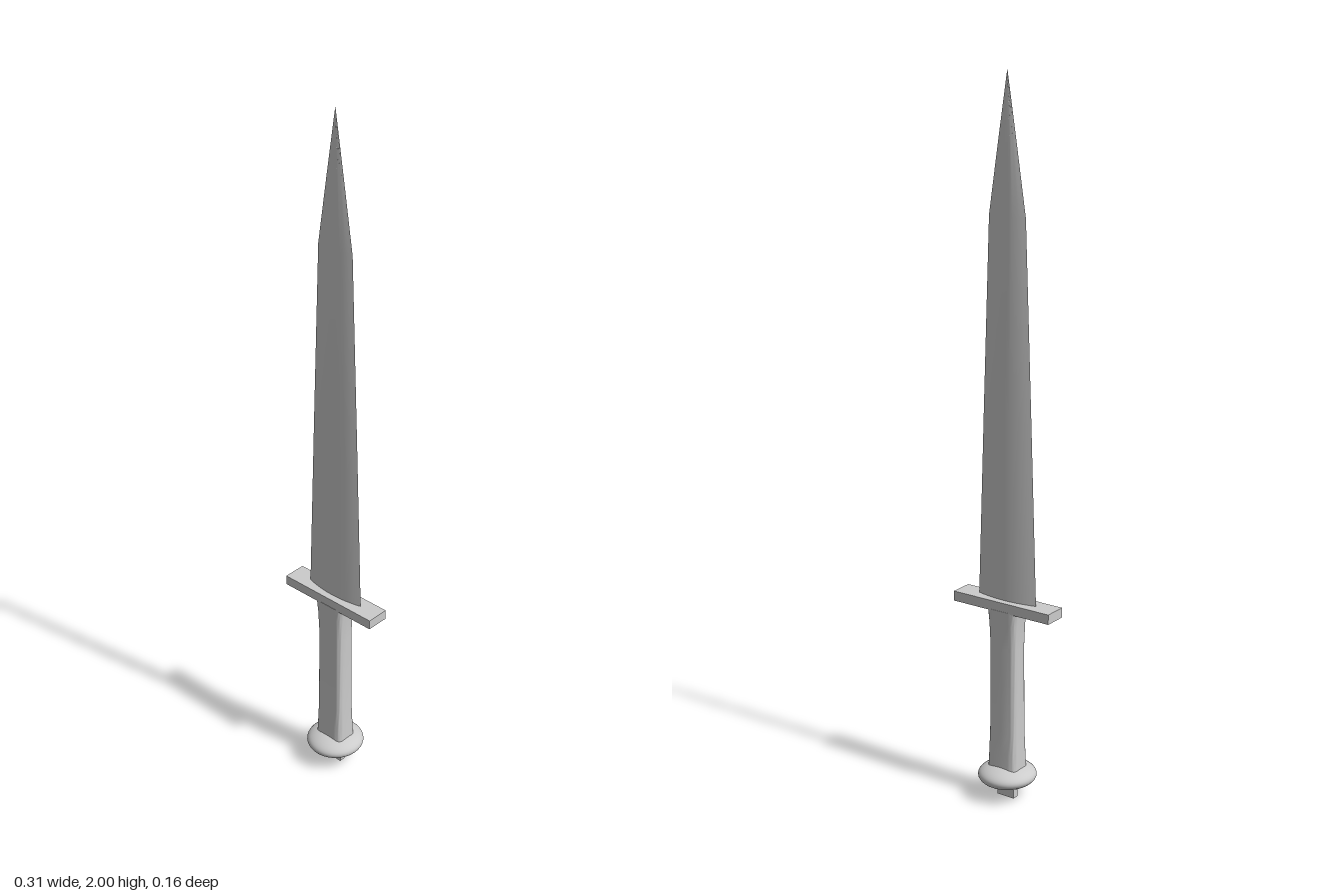
import * as THREE from 'three';
import { toCreasedNormals } from 'three/addons/utils/BufferGeometryUtils.js';

// Stacks scaled copies of a closed outline; each section is [y, half width x, half depth z].
function loft(outline, sections, crease) {
  const n = outline.length, pos = [], idx = [];
  for (const [y, rx, rz] of sections)
    for (const [x, z] of outline) pos.push(x * rx, y, z * rz);
  for (let s = 0; s < sections.length - 1; s++)
    for (let i = 0; i < n; i++) {
      const a = s * n + i, b = s * n + (i + 1) % n;
      idx.push(a, a + n, b, b, a + n, b + n);
    }
  // end caps
  const top = (sections.length - 1) * n;
  for (let i = 1; i < n - 1; i++) {
    idx.push(0, i, i + 1);
    idx.push(top, top + i + 1, top + i);
  }
  const geo = new THREE.BufferGeometry();
  geo.setAttribute('position', new THREE.Float32BufferAttribute(pos, 3));
  geo.setIndex(idx);
  return toCreasedNormals(geo, crease);
}

// Lens-shaped outline with two sharp edges at x = ±1
function lensOutline(steps) {
  const pts = [];
  for (const side of [1, -1])
    for (let i = 0; i < steps; i++) {
      const x = side * (1 - 2 * i / steps);
      pts.push([x, side * (1 - x * x)]);
    }
  return pts;
}

// Rounded-rectangle outline
function roundedOutline(steps, power) {
  const pts = [];
  for (let i = 0; i < steps; i++) {
    const t = i / steps * Math.PI * 2, c = Math.cos(t), s = Math.sin(t);
    pts.push([Math.sign(c) * Math.abs(c) ** power, Math.sign(s) * Math.abs(s) ** power]);
  }
  return pts;
}

export function createModel() {
  const model = new THREE.Group();
  const material = new THREE.MeshStandardMaterial({ color: 0xcccccc });
  const add = (name, geometry, y = 0) => {
    const mesh = new THREE.Mesh(geometry, material);
    mesh.name = name;
    mesh.position.y = y;
    model.add(mesh);
    return mesh;
  };

  // Long tapering blade with a pointed tip
  add('blade', loft(lensOutline(12), [
    [0.57, 0.095, 0.013], [1.1, 0.077, 0.011], [1.63, 0.058, 0.008],
    [1.82, 0.029, 0.005], [2, 0.0005, 0.0005],
  ], 0.5));

  // Flat crossguard
  add('guard', new THREE.BoxGeometry(0.314, 0.028, 0.066), 0.571);

  // Grip, slightly flared at both ends
  add('grip', loft(roundedOutline(32, 0.4), [
    [0.08, 0.048, 0.036], [0.14, 0.046, 0.033], [0.2, 0.044, 0.031],
    [0.45, 0.043, 0.029], [0.52, 0.045, 0.032], [0.56, 0.049, 0.034],
  ], 0.7));

  // Flattened round pommel
  const pommel = add('pommel', new THREE.SphereGeometry(0.082, 40, 24), 0.067);
  pommel.scale.y = 0.41;

  // End of the tang below the pommel
  add('tangEnd', new THREE.BoxGeometry(0.056, 0.05, 0.018), 0.025);

  return model;
}
